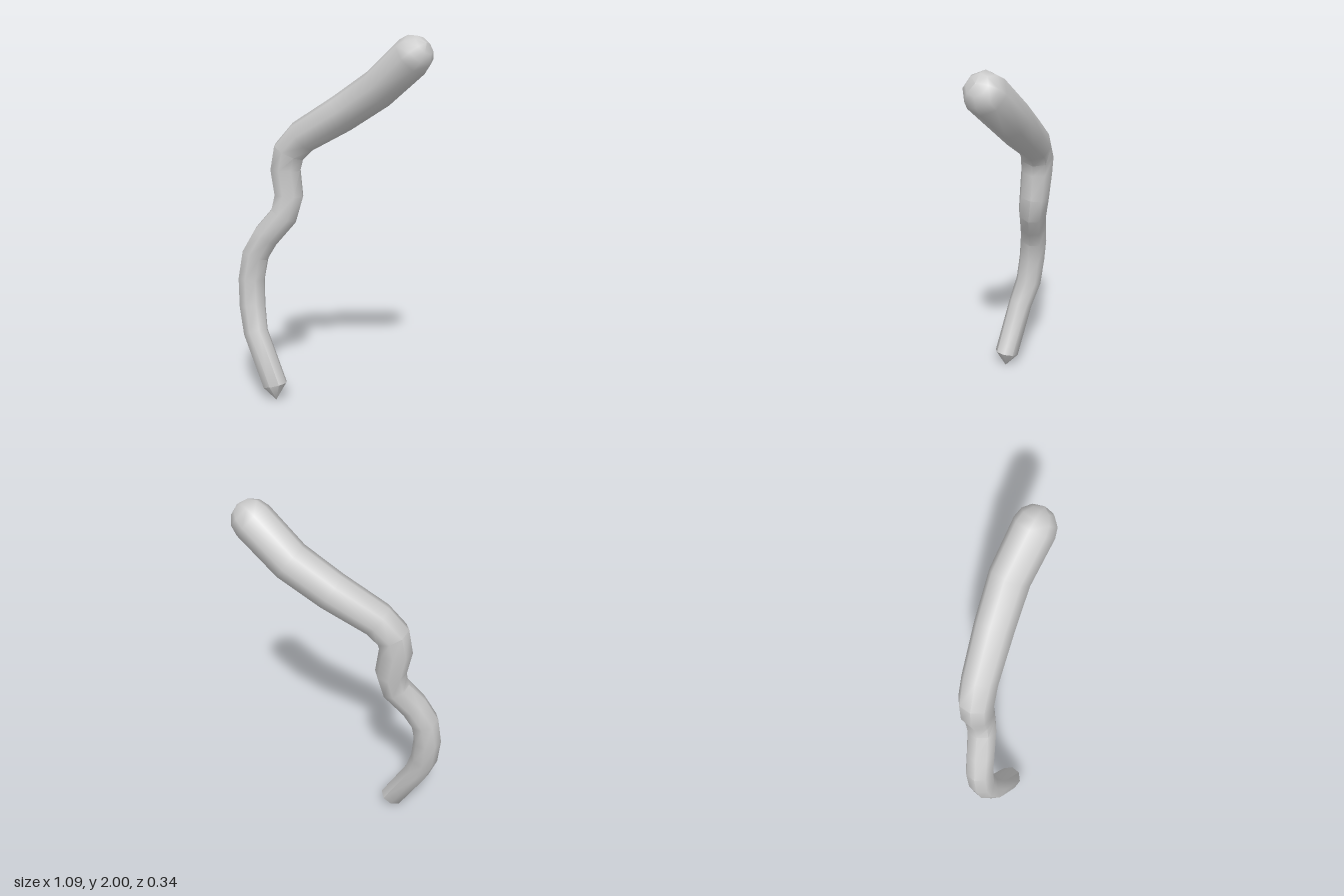
import * as THREE from 'three';
import { toCreasedNormals } from 'three/addons/utils/BufferGeometryUtils.js';

const SIDES = 8;

// Centre line from the narrow foot to the thick top: x, y, z, radius
const SPINE = [
  [-0.277, 0.0, 0.11, 0.001],
  [-0.285, 0.085, 0.105, 0.069],
  [-0.425, 0.36, 0.055, 0.07],
  [-0.463, 0.5, 0.015, 0.075],
  [-0.474, 0.65, -0.002, 0.076],
  [-0.453, 0.79, -0.015, 0.078],
  [-0.39, 0.9, -0.025, 0.078],
  [-0.29, 1.02, -0.045, 0.08],
  [-0.265, 1.13, -0.06, 0.083],
  [-0.287, 1.27, -0.067, 0.087],
  [-0.268, 1.37, -0.072, 0.092],
  [-0.19, 1.455, -0.075, 0.093],
  [0.04, 1.59, -0.07, 0.101],
  [0.245, 1.725, -0.055, 0.105],
  [0.44, 1.89, 0.005, 0.108],
];

function createBranchGeometry() {
  const rings = SPINE.map(([x, y, z, r]) => ({ p: new THREE.Vector3(x, y, z), r }));

  // Rounded top end
  const last = rings[rings.length - 1];
  const axis = last.p.clone().sub(rings[rings.length - 2].p).normalize();
  for (const a of [0.5, 1.0, 1.56]) {
    rings.push({ p: last.p.clone().addScaledVector(axis, last.r * Math.sin(a)), r: last.r * Math.cos(a) });
  }

  // Cross-sections, carried along the line without twisting
  const positions = [];
  const side = new THREE.Vector3(0, 0, 1);
  rings.forEach(({ p, r }, i) => {
    const before = rings[Math.max(i - 1, 0)].p;
    const after = rings[Math.min(i + 1, rings.length - 1)].p;
    const inward = p.clone().sub(before).normalize();
    const outward = after.clone().sub(p).normalize();
    const tangent = inward.add(outward).normalize();
    side.addScaledVector(tangent, -side.dot(tangent)).normalize();
    const other = tangent.clone().cross(side);
    for (let j = 0; j < SIDES; j++) {
      const a = (j / SIDES) * Math.PI * 2;
      const v = p.clone().addScaledVector(side, r * Math.cos(a)).addScaledVector(other, r * Math.sin(a));
      positions.push(v.x, v.y, v.z);
    }
  });

  const index = [];
  for (let i = 0; i < rings.length - 1; i++) {
    for (let j = 0; j < SIDES; j++) {
      const k = (j + 1) % SIDES;
      const a = i * SIDES + j, b = i * SIDES + k;
      index.push(a, b, b + SIDES, a, b + SIDES, a + SIDES);
    }
  }
  const geometry = new THREE.BufferGeometry();
  geometry.setAttribute('position', new THREE.Float32BufferAttribute(positions, 3));
  geometry.setIndex(index);
  return toCreasedNormals(geometry, 0.85);
}

export function createModel() {
  const group = new THREE.Group();
  group.name = 'crookedBranch';
  const branch = new THREE.Mesh(createBranchGeometry(), new THREE.MeshStandardMaterial({ color: 0xcccccc }));
  branch.name = 'branch';
  group.add(branch);
  return group;
}
